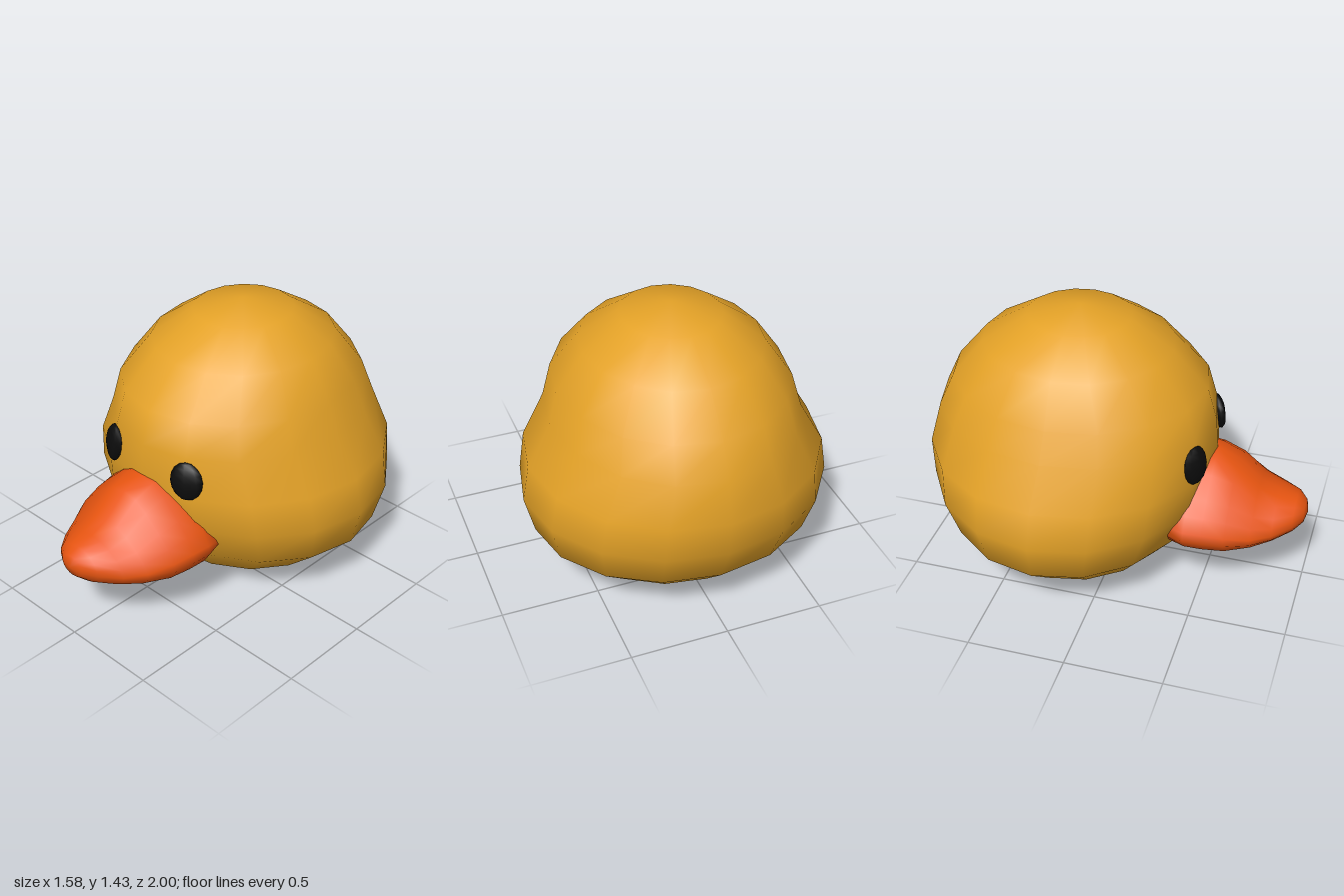
import * as THREE from 'three';

// Smooth closed skin through equal-length rings, ended by one point at each end
function loft(start, rings, end) {
  const n = rings[0].length;
  const pos = [start, ...rings.flat(), end].flat();
  const last = rings.length * n + 1;
  const id = (i, j) => 1 + i * n + (j % n);
  const index = [];
  for (let j = 0; j < n; j++) {
    index.push(0, id(0, j + 1), id(0, j));
    for (let i = 0; i < rings.length - 1; i++) {
      const a = id(i, j), b = id(i, j + 1), c = id(i + 1, j + 1), d = id(i + 1, j);
      index.push(a, b, c, a, c, d);
    }
    index.push(id(rings.length - 1, j), id(rings.length - 1, j + 1), last);
  }
  const geo = new THREE.BufferGeometry();
  geo.setAttribute('position', new THREE.Float32BufferAttribute(pos, 3));
  geo.setIndex(index);
  geo.computeVertexNormals();
  return geo;
}

// Head: elliptical rings given as height, half width, front z, back z
function headGeometry() {
  const levels = [
    [0.025, 0.30, 0.06, -0.50], [0.115, 0.55, 0.27, -0.73], [0.28, 0.74, 0.40, -0.90],
    [0.48, 0.79, 0.49, -0.985], [0.67, 0.755, 0.515, -1.0], [0.88, 0.63, 0.50, -0.95],
    [1.05, 0.585, 0.45, -0.87], [1.24, 0.45, 0.27, -0.71], [1.38, 0.25, 0.05, -0.48],
  ];
  const rings = levels.map(([y, w, f, b]) => Array.from({ length: 16 }, (_, j) => {
    const t = j / 16 * Math.PI * 2;
    return [w * Math.sin(t), y, (f + b) / 2 + (f - b) / 2 * Math.cos(t)];
  }));
  return loft([0, 0, -0.22], rings, [0, 1.43, -0.21]);
}

// Upper bill: bell-shaped sections that become round towards the tip
function billGeometry() {
  const bell = [[0, 1], [0.23, 0.965], [0.44, 0.85], [0.7, 0.64], [0.87, 0.48],
    [0.985, 0.31], [1, 0.2], [0.9, 0.06], [0.68, 0], [0, 0.01]];
  // z, half width, bottom, top, roundness
  const sections = [
    [0.30, 0.36, 0.32, 0.70, 0], [0.43, 0.39, 0.295, 0.72, 0], [0.52, 0.375, 0.285, 0.715, 0],
    [0.63, 0.35, 0.283, 0.67, 0], [0.75, 0.29, 0.283, 0.565, 0.2], [0.85, 0.225, 0.295, 0.52, 0.5],
    [0.94, 0.14, 0.32, 0.50, 0.8], [0.985, 0.07, 0.355, 0.465, 1],
  ];
  const rings = sections.map(([z, w, lo, hi, k]) => {
    const half = bell.map(([x, t], j) => {
      const a = j / 9 * Math.PI;
      const px = THREE.MathUtils.lerp(x, Math.sin(a), k) * w;
      const py = THREE.MathUtils.lerp(t, 0.5 + 0.5 * Math.cos(a), k);
      return [px, lo + (hi - lo) * py, z];
    });
    const left = half.map(([x, y, pz]) => [-x, y, pz]);
    return [...left, ...half.slice(1, -1).reverse()];
  });
  return loft([0, 0.45, 0.30], rings, [0, 0.41, 1.0]);
}

export function createModel() {
  const yellow = new THREE.MeshStandardMaterial({ name: 'yellow', color: 0xe4a227 });
  const orange = new THREE.MeshStandardMaterial({ name: 'orange', color: 0xe65410 });
  const black = new THREE.MeshStandardMaterial({ name: 'black', color: 0x0c0c0c });
  const model = new THREE.Group();
  model.name = 'duckHead';
  const add = (name, geo, mat) => {
    const mesh = new THREE.Mesh(geo, mat);
    mesh.name = name;
    model.add(mesh);
    return mesh;
  };

  add('head', headGeometry(), yellow);
  add('upperBill', billGeometry(), orange);

  const lower = add('lowerBill', new THREE.SphereGeometry(1, 16, 10), orange);
  lower.scale.set(0.26, 0.085, 0.24);
  lower.position.set(0, 0.285, 0.46);

  // Flattened eyes set into the face
  for (const s of [1, -1]) {
    const eye = add(s > 0 ? 'leftEye' : 'rightEye', new THREE.SphereGeometry(1, 8, 8), black);
    eye.scale.set(0.085, 0.1, 0.035);
    eye.rotation.set(-0.14, s * 0.42, s * 0.08, 'YXZ');
    eye.position.set(s * 0.258, 0.765, 0.455);
  }
  return model;
}
